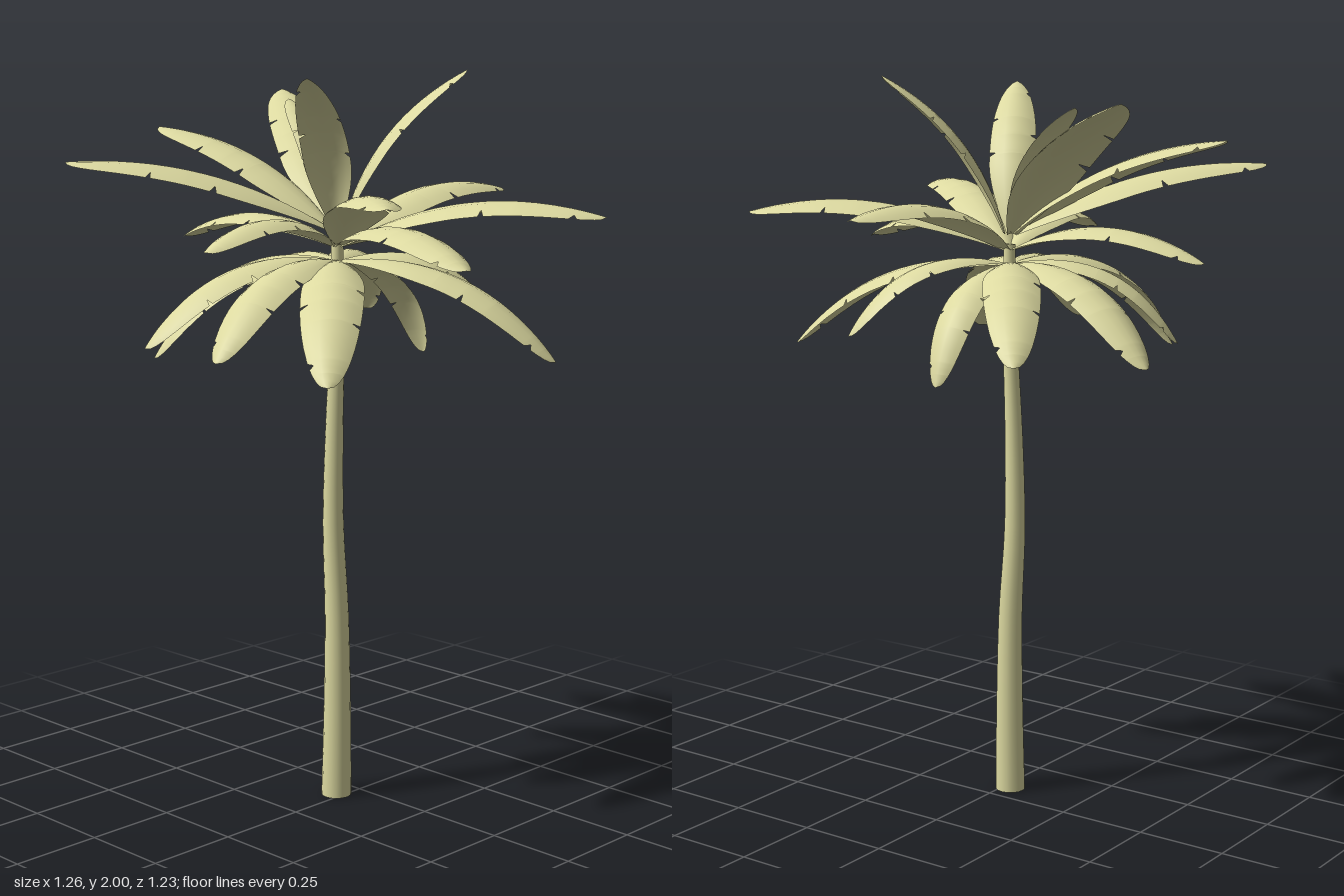
import * as THREE from 'three';

const palm = new THREE.MeshStandardMaterial({ color: 0xdcd9a0, side: THREE.DoubleSide });
palm.name = 'pale palm green';

// Leaf tiers: height of the leaf base, upward bow, and tip positions [x, y, z]
const tiers = [
  { name: 'upperLeaf', baseY: 1.58, bow: 0.06, tips: [
    [-0.58, 1.94, -0.27], [-0.27, 1.92, 0], [-0.63, 1.84, 0.16],
    [-0.52, 1.76, 0.58], [0.15, 1.98, 0.34], [0.23, 2.0, -0.17]] },
  { name: 'middleLeaf', baseY: 1.54, bow: 0.075, tips: [
    [-0.03, 1.66, -0.62], [0.63, 1.63, -0.26], [0.61, 1.53, 0.26],
    [0.51, 1.68, 0.43], [-0.61, 1.53, 0.09], [0.06, 1.56, 0.6]] },
  { name: 'lowerLeaf', baseY: 1.5, bow: 0.09, tips: [
    [0.24, 1.32, -0.31], [-0.36, 1.3, -0.4], [-0.05, 1.21, -0.31], [0.56, 1.26, -0.15],
    [0.39, 1.25, 0.51], [-0.57, 1.28, -0.12], [-0.43, 1.29, 0.27],
    [-0.29, 1.25, 0.48], [-0.17, 1.3, 0.61], [0.1, 1.29, 0.61]] },
];

// Tears along each edge of a leaf, as fractions of its length
const tears = { '-1': [0.45, 0.69], '1': [0.57, 0.9] };
const tearHalf = 0.014;

// Half width along the leaf: narrow stalk, broad middle, rounded tip
function outline(t) {
  const grow = 0.16 + 0.84 * Math.sin(Math.min(t / 0.42, 1) * Math.PI / 2);
  const s = Math.max(0, (t - 0.42) / 0.58);
  return grow * Math.sqrt(Math.max(0, 1 - Math.pow(s, 2.4)));
}

function leafGeometry(base, tip, bow) {
  const chord = tip.clone().sub(base);
  const length = chord.length();
  const dir = chord.clone().normalize();
  const side = dir.clone().cross(new THREE.Vector3(0, 1, 0)).normalize();
  const lift = side.clone().cross(dir);
  const control = base.clone().lerp(tip, 0.5).addScaledVector(lift, 2 * bow);
  const curve = new THREE.QuadraticBezierCurve3(base, control, tip);

  // Rows: even steps, a rounded tip, and three rows at each tear
  const rows = [0.94, 0.97, 0.99];
  for (let i = 0; i <= 16; i++) rows.push(i / 16);
  for (const list of Object.values(tears)) {
    for (const t of list) rows.push(t - tearHalf, t, t + tearHalf);
  }
  rows.sort((a, b) => a - b);

  const cols = [-1, -0.72, -0.36, 0, 0.36, 0.72, 1];
  const half = 0.126 * length;
  const positions = [], indices = [];
  rows.forEach((t, i) => {
    const p = curve.getPoint(t);
    const up = side.clone().cross(curve.getTangent(t)).normalize();
    cols.forEach((c, j) => {
      const torn = Math.abs(c) === 1 && tears[c].some((n) => Math.abs(n - t) < 1e-6);
      const u = c * (torn ? 0.74 : 1);
      const w = outline(t) * half;
      const v = p.clone().addScaledVector(side, u * w).addScaledVector(up, -0.38 * u * u * w);
      positions.push(v.x, v.y, v.z);
      if (i && j) {
        const d = i * cols.length + j, c0 = d - 1, b = d - cols.length, a = b - 1;
        indices.push(a, b, c0, b, d, c0);
      }
    });
  });
  const geo = new THREE.BufferGeometry();
  geo.setAttribute('position', new THREE.Float32BufferAttribute(positions, 3));
  geo.setIndex(indices);
  geo.computeVertexNormals();
  return geo;
}

// Tapered trunk, its rings shifted along a gently bent centre line
function trunkGeometry() {
  const height = 1.55;
  const path = new THREE.CatmullRomCurve3([
    [-0.022, 0.07], [-0.022, 0.066], [-0.027, 0.062], [-0.044, 0.058],
    [-0.041, 0.056], [-0.026, 0.06], [-0.018, 0.066],
  ].map(([x, z], i) => new THREE.Vector3(x, (i * height) / 6, z)));
  const geo = new THREE.CylinderGeometry(0.016, 0.042, height, 16, 24);
  const pos = geo.attributes.position;
  for (let i = 0; i < pos.count; i++) {
    const y = pos.getY(i) + height / 2;
    const c = path.getPoint(y / height);
    pos.setXYZ(i, pos.getX(i) + c.x, y, pos.getZ(i) + c.z);
  }
  return geo;
}

export function createModel() {
  const model = new THREE.Group();
  model.name = 'palmTree';

  const trunk = new THREE.Mesh(trunkGeometry(), palm);
  trunk.name = 'trunk';
  model.add(trunk);

  // Crown of leaves radiating from the top of the trunk
  const crown = new THREE.Group();
  crown.name = 'crown';
  for (const { name, baseY, bow, tips } of tiers) {
    tips.forEach((t, i) => {
      const tip = new THREE.Vector3(...t);
      const base = new THREE.Vector3(-0.02, baseY, 0.064);
      const out = new THREE.Vector3(tip.x - base.x, 0, tip.z - base.z).normalize();
      base.addScaledVector(out, 0.012);
      const leaf = new THREE.Mesh(leafGeometry(base, tip, bow), palm);
      leaf.name = name + (i + 1);
      crown.add(leaf);
    });
  }
  model.add(crown);
  return model;
}
